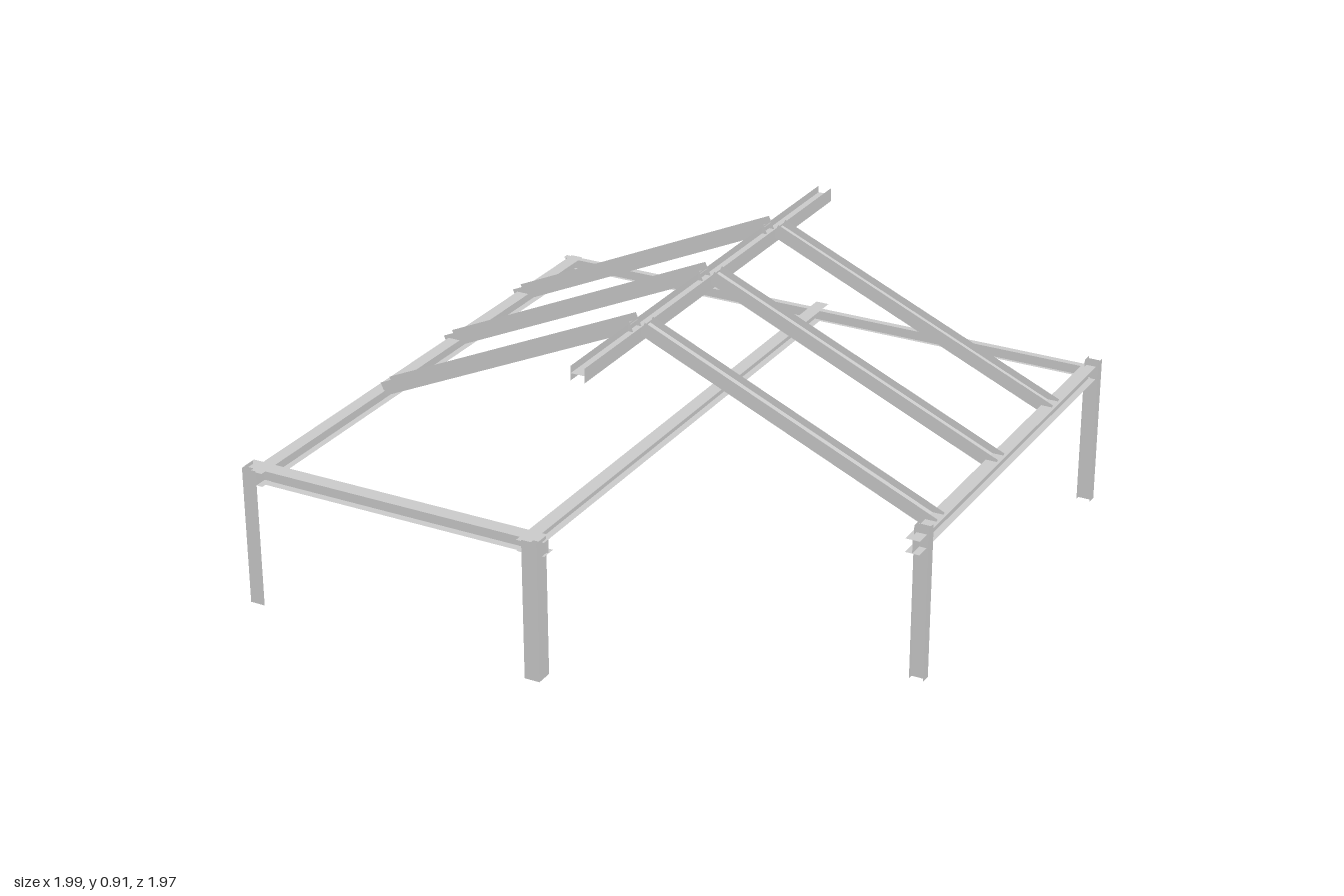
import * as THREE from 'three';

// Cross-sections as sheet segments [u1, v1, u2, v2] in units of width and height
const SECTIONS = {
  // flanges top and bottom, upright web
  I: [[-0.5, 0.5, 0.5, 0.5], [-0.5, -0.5, 0.5, -0.5], [0, -0.5, 0, 0.5]],
  // upright flanges at the sides, flat web
  H: [[-0.5, -0.5, -0.5, 0.5], [0.5, -0.5, 0.5, 0.5], [-0.5, 0, 0.5, 0]],
  // angle with its corner at (+u, +v)
  L: [[-0.5, 0.5, 0.5, 0.5], [0.5, -0.5, 0.5, 0.5]],
};

const steel = new THREE.MeshStandardMaterial({ color: 0xcccccc, side: THREE.DoubleSide, flatShading: true });

// Sweeps a section from a to b; side is the direction of its width
function member(name, section, a, b, side, w, h) {
  const start = new THREE.Vector3(...a), end = new THREE.Vector3(...b);
  const u = new THREE.Vector3(...side);
  const v = new THREE.Vector3().subVectors(end, start).normalize().cross(u).normalize();
  const at = (p, s, t) => p.clone().addScaledVector(u, s * w).addScaledVector(v, t * h);
  const points = [];
  for (const [u1, v1, u2, v2] of SECTIONS[section]) {
    const p = at(start, u1, v1), q = at(start, u2, v2);
    const r = at(end, u2, v2), s = at(end, u1, v1);
    points.push(p, q, r, p, r, s);
  }
  const geometry = new THREE.BufferGeometry().setFromPoints(points);
  geometry.computeVertexNormals();
  const mesh = new THREE.Mesh(geometry, steel);
  mesh.name = name;
  return mesh;
}

export function createModel() {
  const model = new THREE.Group();
  model.name = 'steelRoofFrame';
  const X = [1, 0, 0], Z = [0, 0, 1];
  const add = (...args) => model.add(member(...args));

  // Angle posts along the front, corners facing outwards
  add('frontCornerPost', 'L', [-0.96, 0.03, 0.953], [-0.96, 0.485, 0.953], [-1, 0, 0], 0.05, 0.055);
  add('frontMiddlePost', 'L', [0.01, 0.03, 0.953], [0.01, 0.485, 0.953], X, 0.05, 0.055);
  // sections swept upwards along y put +v on -z for +x widths, so turn both corners forward
  for (const post of model.children) {
    post.geometry.translate(0, 0, -0.953);
    if (post.name === 'frontMiddlePost') {
      post.geometry.scale(1, 1, -1);
    }
    post.geometry.computeVertexNormals();
    post.position.z = 0.953;
  }

  // H posts on the left side
  add('sidePost', 'H', [0.972, 0, 0.387], [0.972, 0.505, 0.387], X, 0.045, 0.035);
  add('sidePost', 'H', [0.972, 0, -0.925], [0.972, 0.5, -0.925], X, 0.045, 0.035);

  // Level beams
  add('rightBeam', 'I', [-0.945, 0.452, -0.94], [-0.945, 0.452, 0.968], X, 0.043, 0.043);
  add('middleBeam', 'I', [-0.02, 0.452, -0.985], [-0.02, 0.452, 0.963], X, 0.045, 0.036);
  add('leftBeam', 'I', [0.96, 0.453, -0.95], [0.96, 0.453, 0.437], X, 0.045, 0.044);
  add('frontBeam', 'I', [-1, 0.452, 0.925], [0.042, 0.452, 0.925], Z, 0.05, 0.045);
  add('backBeam', 'I', [-0.985, 0.453, -0.927], [0.965, 0.453, -0.927], Z, 0.022, 0.036);

  // Ridge
  add('ridgeBeam', 'H', [-0.02, 0.863, -0.985], [-0.02, 0.863, 0.64], X, 0.046, 0.046);

  // Three pairs of rafters
  for (const [z, foot] of [[0.276, -0.93], [-0.165, -0.975], [-0.6, -0.975]]) {
    const footY = 0.885 + (foot + 0.035) * 0.455;
    add('rightRafter', 'H', [foot, footY, z], [-0.035, 0.885, z], Z, 0.05, 0.045);
    add('leftRafter', 'H', [0.968, 0.462, z], [0.005, 0.882, z], Z, 0.05, 0.045);
  }
  return model;
}
